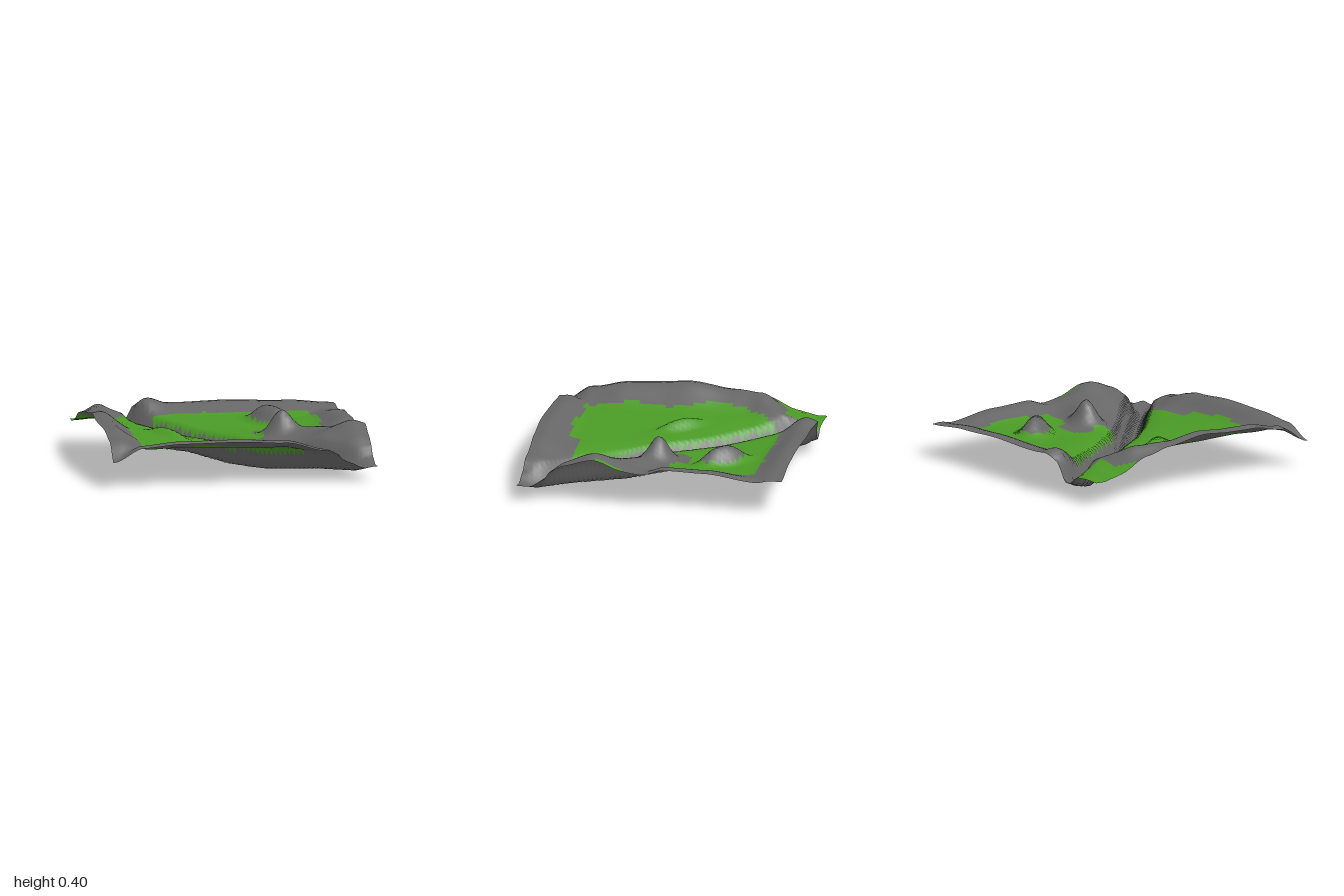
import * as THREE from 'three';

const N = 68;          // grid cells per side
const PLAIN = 0.2;     // height of the grassy basin
const HALF = 0.972;

const smooth = THREE.MathUtils.smoothstep;

// Smooth interpolation through [position, value] pairs
function sample(pairs, t) {
  if (t <= pairs[0][0]) return pairs[0][1];
  for (let i = 1; i < pairs.length; i++) {
    const [a, va] = pairs[i - 1], [b, vb] = pairs[i];
    if (t <= b) return va + (vb - va) * smooth(t, a, b);
  }
  return pairs[pairs.length - 1][1];
}

// Heights along the four outer edges
const leftRim = [[-0.97, 0.19], [-0.78, 0.22], [-0.5, 0.32], [-0.3, 0.355], [0.03, 0.395], [0.25, 0.38], [0.48, 0.375], [0.75, 0.33], [0.97, 0.21]];
const frontRim = [[-0.97, 0.21], [-0.75, 0.3], [-0.45, 0.32], [0, 0.335], [0.3, 0.32], [0.6, 0.25], [0.8, 0.18], [0.97, 0.15]];
const rightRim = [[-0.97, 0.25], [-0.8, 0.235], [-0.4, 0.285], [-0.1, 0.295], [0.06, 0.25], [0.22, 0.25], [0.42, 0.29], [0.62, 0.27], [0.8, 0.21], [0.97, 0.15]];
const backRim = [[-0.97, 0.19], [-0.72, 0.2], [-0.55, 0.26], [-0.42, 0.28], [-0.28, 0.28], [0.2, 0.3], [0.6, 0.28], [0.97, 0.25]];

// Ravine course as [x, z, floor height]
const ravine = [[-0.64, -1.02, 0.14], [-0.58, -0.85, 0.07], [-0.48, -0.68, 0.025], [-0.2, -0.3, 0.04], [0.04, 0.05, 0.01],
  [0.26, 0.3, 0.01], [0.4, 0.44, 0.03], [0.6, 0.63, 0.06], [0.84, 0.86, 0.08], [0.98, 1.0, 0.14]];

// Distance to the ravine's centre line and the floor height there
function nearRavine(x, z) {
  let best = { d: 9, floor: 0 };
  for (let i = 1; i < ravine.length; i++) {
    const [ax, az, ah] = ravine[i - 1], [bx, bz, bh] = ravine[i];
    const dx = bx - ax, dz = bz - az;
    const t = THREE.MathUtils.clamp(((x - ax) * dx + (z - az) * dz) / (dx * dx + dz * dz), 0, 1);
    const d = Math.hypot(x - ax - t * dx, z - az - t * dz);
    if (d < best.d) best = { d, floor: ah + t * (bh - ah) };
  }
  return best;
}

// Squared radius inside a turned ellipse, 1 on its outline
function ellipse(x, z, cx, cz, long, short, angle) {
  const u = (x - cx) * Math.cos(angle) + (z - cz) * Math.sin(angle);
  const v = (z - cz) * Math.cos(angle) - (x - cx) * Math.sin(angle);
  return (u / long) ** 2 + (v / short) ** 2;
}
const mound = (x, z) => ellipse(x, z, 0.42, -0.45, 0.19, 0.095, 0.9);
const ridge = (x, z) => ellipse(x, z, -0.41, 0.01, 0.19, 0.06, 0.95);

function height(x, z) {
  // Raised rim on each side: a steep crest on a long gentle slope
  const rise = (rim, along, inset, width) => (sample(rim, along) - PLAIN)
    * (0.55 * (1 - smooth(inset, 0.06, width)) + 0.45 * (1 - smooth(inset, 0.1, 0.72)))
    * (1 + 0.08 * Math.exp(-(((inset - 0.09) / 0.06) ** 2)));
  const rises = [
    rise(leftRim, z, x + HALF, 0.32), rise(rightRim, z, HALF - x, 0.27),
    rise(frontRim, x, HALF - z, 0.28), rise(backRim, x, z + HALF, 0.28)
  ];
  const high = Math.max(...rises), low = Math.min(...rises);
  let h = PLAIN + (high > 0.02 ? high : high + low) - 0.015 * x * (1 - Math.abs(x));
  h += 0.006 * Math.sin(5 * x + 1) * Math.cos(4 * z);

  // Diagonal rim across the back right corner, and the bump on the back rim
  h += 0.07 * Math.exp(-(((x + z + 1.36) / 0.17) ** 2)) * (1 - smooth(x, -0.66, -0.5)) * smooth(x, -0.97, -0.8);
  h += 0.05 * Math.exp(-ellipse(x, z, -0.42, -0.89, 0.1, 0.09, 0));

  // Shoulder, pointed knob, mound and small ridge
  h += 0.085 * Math.exp(-ellipse(x, z, 0.8, 0.4, 0.25, 0.22, 0));
  h += 0.06 * Math.exp(-ellipse(x, z, 0.62, 0.13, 0.22, 0.12, 0.5));
  h += 0.17 * Math.exp(-ellipse(x, z, 0.42, 0.02, 0.1, 0.09, 0.4));
  h += 0.13 * Math.exp(-1.3 * mound(x, z) ** 1.4);
  h += 0.06 * Math.exp(-1.3 * ridge(x, z) ** 1.4);

  // Ravine cut with gently sloping banks
  const { d, floor } = nearRavine(x, z);
  h -= 0.025 * (1 - smooth(d, 0.05, 0.25));
  const cut = 1 - smooth(d, 0.02, 0.11);
  return h + (Math.min(floor, h) - h) * cut;
}

function isGrass(x, z) {
  const { d } = nearRavine(x, z);
  if (x < -0.68 && z < -0.71 + 0.9 * Math.max(0, -0.85 - x)) return true;  // grassy corner
  if (x > 0.94 && z > 0.2 && z < 0.4) return true;                         // patch on the edge
  if (d < 0.085 || mound(x, z) < 1) return false;
  const wobble = 0.015 * Math.sin(14 * x + 5) + 0.015 * Math.sin(11 * z);
  const rightOfRavine = x > 0.05 + (z - 0.05) * (z < 0.05 ? 0.74 : 0.95);
  if (rightOfRavine) {
    if (z < -0.73 + wobble || x > 0.76 + wobble) return false;
    if (x < 0.29) return z < 0.08 && ellipse(x, z, 0.32, -0.09, 0.09, 0.08, 0) > 1;
    return z < (x < 0.48 ? -0.18 : -0.09) + wobble;
  }
  return x > -0.73 + wobble - 0.04 * smooth(-z, -0.1, 0.3)
    && x + 0.6 * z > -0.98
    && z < (x > 0.1 ? 0.65 : 0.75) + wobble * 0.5;
}

export function createModel() {
  const group = new THREE.Group();
  group.name = 'terrain';

  // Height field
  const field = new THREE.PlaneGeometry(2 * HALF, 2 * HALF, N, N);
  field.rotateX(-Math.PI / 2);
  const pos = field.attributes.position;
  for (let i = 0; i < pos.count; i++) {
    const x = pos.getX(i), z = pos.getZ(i);
    // Slightly wavy outline, with a bulge at the back
    const sx = 1 + 0.006 * Math.sin(7 * z) * Math.abs(x);
    const bulge = z < -0.8 ? -0.035 * Math.exp(-(((x + 0.42) / 0.1) ** 2)) * smooth(-z, 0.8, 0.97) : 0;
    pos.setXYZ(i, x * sx, height(x, z), z * (1 + 0.006 * Math.sin(6 * x + 2)) + bulge + 0.01);
  }
  field.computeVertexNormals();

  // Sort the cells into grass and rock
  const cells = { grass: [], rock: [] };
  const index = field.index.array;
  for (let c = 0; c < N * N; c++) {
    const x = ((c % N) + 0.5) / N * 2 * HALF - HALF;
    const z = (Math.floor(c / N) + 0.5) / N * 2 * HALF - HALF;
    cells[isGrass(x, z) ? 'grass' : 'rock'].push(...index.slice(c * 6, c * 6 + 6));
  }

  const colors = { grass: 0x4a9a26, rock: 0x666666 };
  for (const name of Object.keys(cells)) {
    const geometry = new THREE.BufferGeometry();
    geometry.setAttribute('position', field.attributes.position);
    geometry.setAttribute('normal', field.attributes.normal);
    geometry.setIndex(cells[name]);
    const material = new THREE.MeshStandardMaterial({ color: colors[name], side: THREE.DoubleSide });
    const mesh = new THREE.Mesh(geometry, material);
    mesh.name = name;
    group.add(mesh);
  }
  return group;
}
